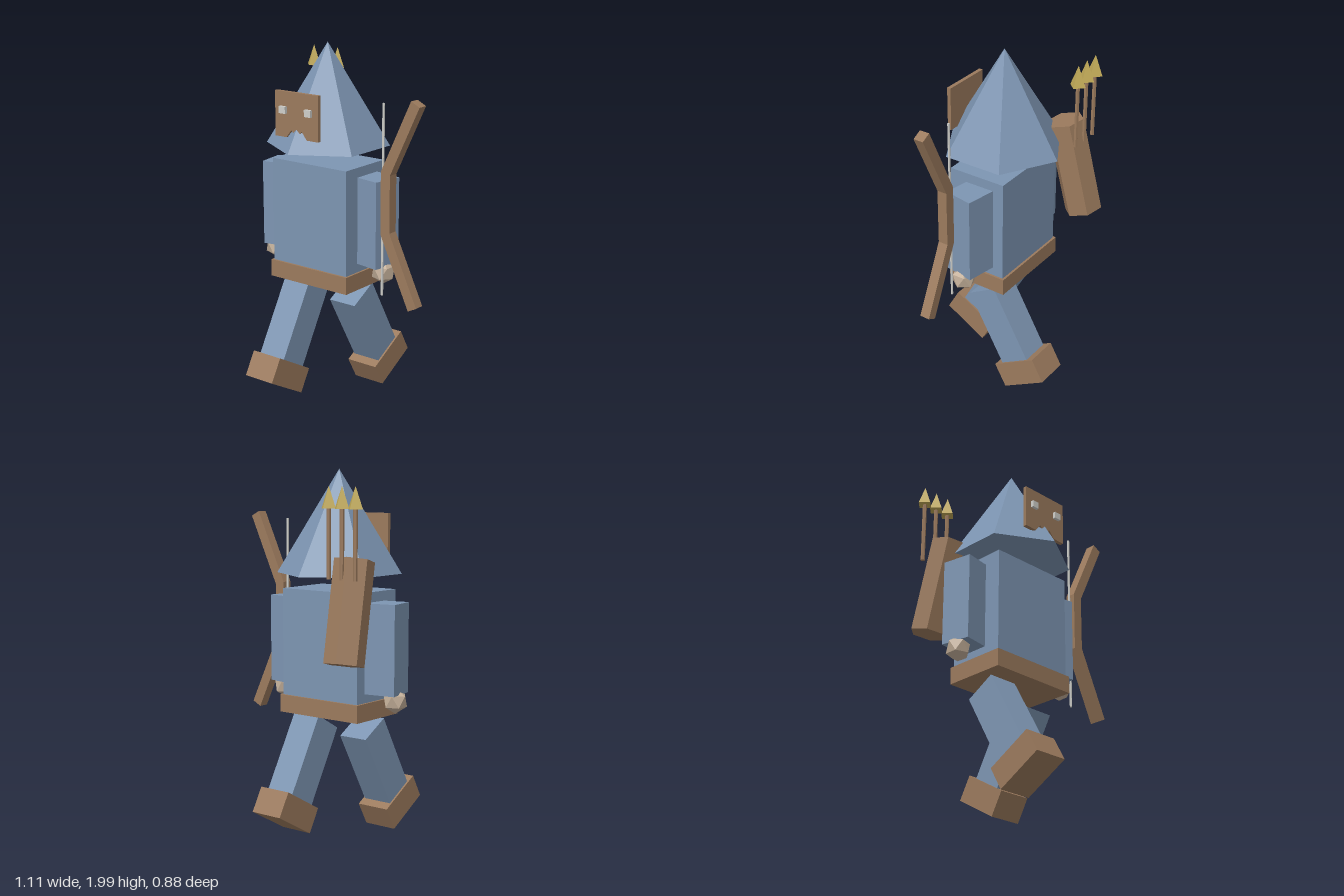
import * as THREE from 'three';

const material = (name, color) => {
  const m = new THREE.MeshStandardMaterial({ color });
  m.name = name;
  return m;
};

export function createModel() {
  const blue = material('blueCloth', 0x7d95b2);
  const brown = material('brownLeather', 0x9b7a5d);
  const gold = material('arrowGold', 0xbfa856);
  const skin = material('paleSkin', 0xc2ae98);
  const grey = material('lightGrey', 0xcfcfca);

  const model = new THREE.Group();
  model.name = 'archer';
  const body = new THREE.Group();
  body.name = 'body';
  body.position.x = -0.107;
  model.add(body);

  const add = (parent, name, geometry, mat, x = 0, y = 0, z = 0) => {
    // Unshared vertices keep every facet flat
    const flat = geometry.index ? geometry.toNonIndexed() : geometry;
    flat.computeVertexNormals();
    const mesh = new THREE.Mesh(flat, mat);
    mesh.name = name;
    mesh.position.set(x, y, z);
    parent.add(mesh);
    return mesh;
  };
  const box = (w, h, d) => new THREE.BoxGeometry(w, h, d);
  const polygon = (points, depth) => new THREE.ExtrudeGeometry(
    new THREE.Shape(points.map(([x, y]) => new THREE.Vector2(x, y))),
    { depth, bevelEnabled: false });

  // Torso, belt and pointed hood
  add(body, 'torso', box(0.512, 0.655, 0.34), blue, 0, 1.0275, 0);
  add(body, 'belt', box(0.536, 0.097, 0.366), brown, 0, 0.717, 0);
  add(body, 'hood', new THREE.ConeGeometry(0.342, 0.56, 6), blue, 0, 1.72, 0);

  // Face mask with a notched lower edge
  const mask = [[-0.147, 1.76], [-0.147, 1.513], [-0.07, 1.513], [-0.036, 1.555],
    [0, 1.52], [0.036, 1.555], [0.07, 1.513], [0.147, 1.513], [0.147, 1.76]].reverse();
  // Points run counter-clockwise or are reordered by the extrusion
  add(body, 'mask', polygon(mask, 0.022), brown, 0, 0, 0.245);

  for (const s of [-1, 1]) {
    const side = s > 0 ? 'left' : 'right';
    add(body, side + 'Eye', box(0.043, 0.038, 0.02), grey, s * 0.087, 1.661, 0.274);

    // Arms, turned slightly forward
    const arm = add(body, side + 'Arm', box(0.2, 0.486, 0.171), blue, s * 0.3155, 1.058, -0.008);
    arm.rotation.y = -s * 0.175;

    // Faceted hands with one corner pointing down
    const hand = new THREE.IcosahedronGeometry(0.07, 0);
    hand.rotateZ(0.5536);
    add(body, side + 'Hand', hand, skin, s * 0.383, 0.78, 0);

    // Striding legs: the right one forward, the left one back
    const leg = new THREE.Group();
    leg.name = side + 'Leg';
    leg.position.set(s * 0.15, s > 0 ? 0.61 : 0.604, -s * 0.0155);
    leg.rotation.x = s * 0.516;
    body.add(leg);
    add(leg, side + 'Trouser', box(0.174, 0.5, 0.189), blue, 0, -0.25, 0);
    add(leg, side + 'Boot', box(0.195, 0.146, 0.289), brown, 0, -0.533, 0);
  }

  // Leaning six-sided quiver
  const top = new THREE.Vector3(-0.38, 1.535, -0.216);
  const bottom = new THREE.Vector3(-0.407, 1.003, -0.338);
  const axis = top.clone().sub(bottom);
  const quiver = add(model, 'quiver',
    new THREE.CylinderGeometry(0.107, 0.107, axis.length(), 6, 1, false, 0.26), brown);
  quiver.position.copy(top).add(bottom).multiplyScalar(0.5);
  quiver.quaternion.setFromUnitVectors(new THREE.Vector3(0, 1, 0), axis.normalize());

  // Arrows
  for (let i = 0; i < 3; i++) {
    const x = -0.475 + i * 0.086;
    add(model, 'arrowShaft', new THREE.CylinderGeometry(0.012, 0.012, 0.37, 6), brown, x, 1.625, -0.333);
    add(model, 'arrowHead', new THREE.ConeGeometry(0.047, 0.115, 4), gold, x, 1.858, -0.333);
  }

  // Bow: one half profile mirrored about its grip
  const outer = [[0.318, 0.172], [0.504, 0.568]];
  const inner = [[0.557, 0.541], [0.377, 0.158]];
  const upper = [...outer, ...inner];
  const lower = upper.map(([x, y]) => [x, -y]).reverse();
  add(model, 'bow', polygon([...upper, ...lower], 0.058), brown, 0, 1.192, 0.03);
  add(model, 'bowString', new THREE.CylinderGeometry(0.007, 0.007, 1.058, 6), grey, 0.31, 1.195, 0.057);

  return model;
}
